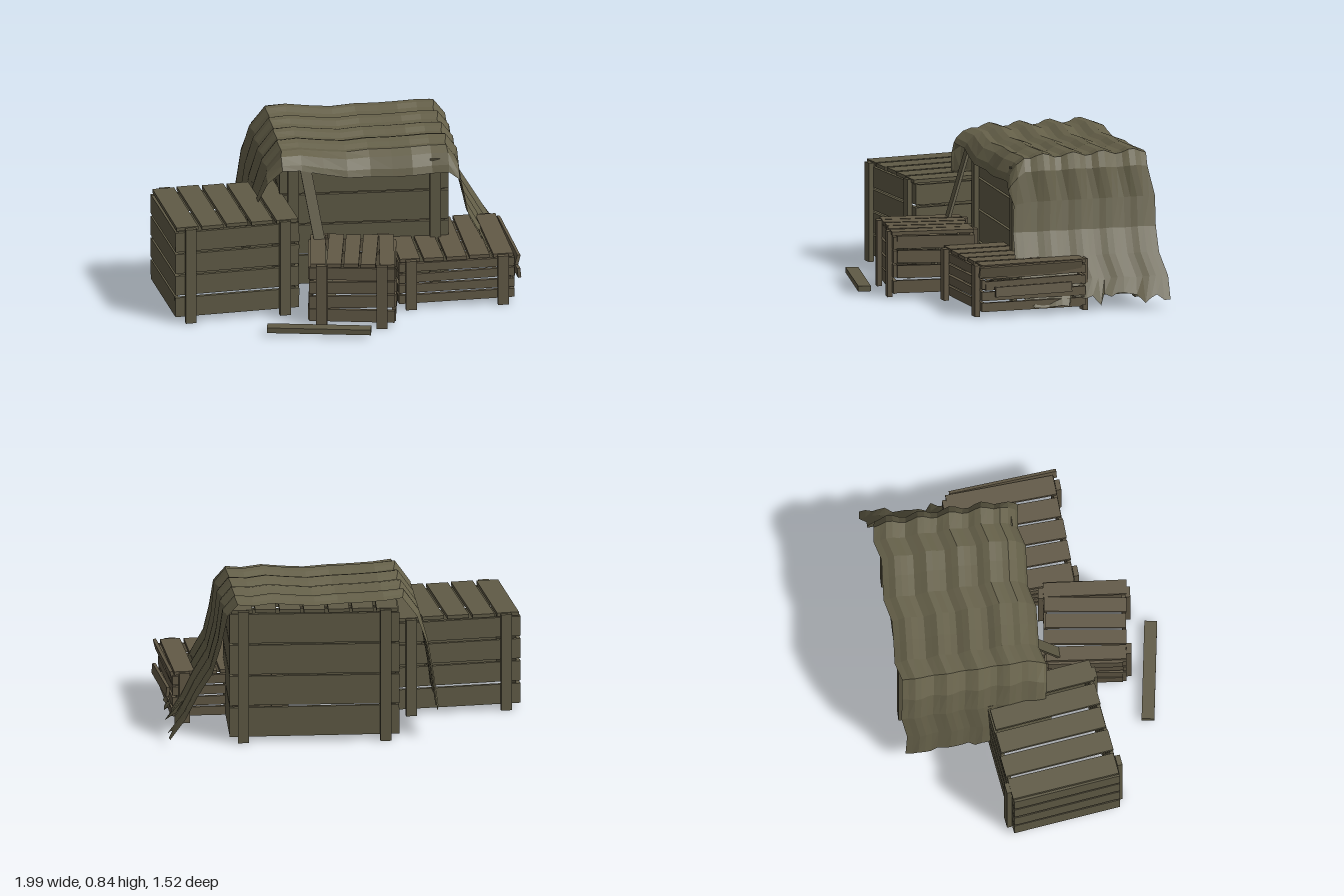
import * as THREE from 'three';

const mat = (name, color) => {
  const m = new THREE.MeshStandardMaterial({ color });
  m.name = name;
  return m;
};

export function createModel() {
  const root = new THREE.Group();
  root.name = 'crateStack';
  const wood = mat('weathered wood', 0x605b46);
  const brownWood = mat('brown wood', 0x625946);
  const cloth = mat('canvas', 0x656049);
  cloth.side = THREE.DoubleSide;

  let seed = 7;
  const rnd = () => {
    seed = (seed * 16807) % 2147483647;
    return seed / 2147483647 - 0.5;
  };

  function board(parent, name, material, size, pos, rot = [0, 0, 0]) {
    const m = new THREE.Mesh(new THREE.BoxGeometry(...size), material);
    m.name = name;
    m.position.set(...pos);
    m.rotation.set(...rot);
    parent.add(m);
    return m;
  }

  // Slatted crate, open below: plank walls, plank lid, four posts on the front and back
  function crate(o) {
    const { w, h, d, rows, lids, postX, postW, material, wobble, t = 0.02 } = o;
    const g = new THREE.Group();
    g.name = o.name;
    g.position.set(o.x, 0, o.z);
    g.rotation.y = o.turn;
    const base = 0.025, pitch = (h - t - base) / rows, slat = pitch * o.fill;
    for (let i = 0; i < rows; i++) {
      const y = base + pitch * (i + 0.5);
      for (const s of [-1, 1]) {
        board(g, 'wallSlat', material, [w, slat, t], [0, y, s * (d / 2 - t / 2)],
          [0, 0, rnd() * wobble]);
        board(g, 'endSlat', material, [t, slat, d - 2 * t],
          [s * (w / 2 - t / 2 + Math.abs(rnd()) * wobble * 0.3), y, 0],
          [rnd() * wobble, rnd() * wobble, 0]);
      }
    }
    const lidPitch = w / lids;
    for (let i = 0; i < lids; i++) {
      board(g, 'lidSlat', material, [lidPitch * 0.87, t, d + rnd() * 0.02],
        [-w / 2 + lidPitch * (i + 0.5), h - t / 2, rnd() * 0.012], [0, rnd() * wobble, 0]);
    }
    for (const sx of [-1, 1]) for (const sz of [-1, 1]) {
      board(g, 'post', material, [postW, h - 0.005, 0.028],
        [sx * postX, (h - 0.005) / 2, sz * (d / 2 + 0.013)]);
    }
    root.add(g);
    return g;
  }

  crate({ name: 'largeCrate', x: 0.165, z: -0.355, turn: -0.04, w: 0.93, h: 0.755, d: 0.67, rows: 4,
    lids: 7, postX: 0.39, postW: 0.06, fill: 0.94, material: wood, wobble: 0.008 });
  crate({ name: 'sideCrate', x: -0.625, z: 0.05, turn: 0.1, w: 0.695, h: 0.555, d: 0.6, rows: 4,
    lids: 5, postX: 0.265, postW: 0.06, fill: 0.88, material: wood, wobble: 0.01 });
  crate({ name: 'smallCrate', x: 0.04, z: 0.345, turn: -0.14, w: 0.47, h: 0.37, d: 0.45, rows: 4,
    lids: 5, postX: 0.165, postW: 0.06, fill: 0.86, material: brownWood, wobble: 0.05 });
  const low = crate({ name: 'lowCrate', x: 0.61, z: 0.025, turn: 0.03, w: 0.64, h: 0.29, d: 0.6, rows: 4,
    lids: 5, postX: 0.255, postW: 0.06, fill: 0.8, material: brownWood, wobble: 0.03 });

  // Slats sprung loose from the end of the low crate
  board(low, 'looseSlat', brownWood, [0.018, 0.06, 0.6], [0.325, 0.255, 0.02], [0, 0.03, -0.25]);
  board(low, 'looseSlat', brownWood, [0.018, 0.055, 0.45], [0.345, 0.145, 0.01], [0, 0.05, 0.1]);

  // Loose planks: one on the ground, one leaning on the large crate
  board(root, 'groundPlank', wood, [0.57, 0.03, 0.07], [-0.185, 0.035, 0.667], [0, -0.187, 0]);
  const a = new THREE.Vector3(-0.18, 0.735, 0.035), b = new THREE.Vector3(-0.07, 0.06, 0.285);
  const dir = b.clone().sub(a);
  const lean = board(root, 'leaningPlank', wood, [0.06, dir.length(), 0.015],
    a.clone().add(b).multiplyScalar(0.5).toArray());
  lean.quaternion.setFromUnitVectors(new THREE.Vector3(0, -1, 0), dir.normalize());

  // Draped cover: a cross-section over the large crate, swept along z with ridges
  const section = [[-0.5, 0.17], [-0.475, 0.36], [-0.44, 0.56], [-0.39, 0.72], [-0.31, 0.828],
    [-0.2, 0.825], [-0.08, 0.815], [0.05, 0.808], [0.18, 0.808], [0.3, 0.812], [0.41, 0.82],
    [0.52, 0.815], [0.61, 0.818], [0.67, 0.745], [0.705, 0.58], [0.75, 0.42], [0.83, 0.29],
    [0.9, 0.17], [0.97, 0.065]];
  const rows = [];
  for (let j = 0; j <= 20; j++) rows.push([-0.735 + j * 0.035, 0]);
  rows.push([0.01, 0.035], [0.05, 0.08], [0.065, 0.11]);
  const n = section.length, pos = [], idx = [];
  rows.forEach(([z, drop], j) => {
    const fray = rnd();
    section.forEach(([x, y], i) => {
      const p = section[Math.max(i - 1, 0)], q = section[Math.min(i + 1, n - 1)];
      const len = Math.hypot(q[0] - p[0], q[1] - p[1]);
      const top = THREE.MathUtils.clamp((y - 0.55) / 0.25, 0, 1);
      const hang = x > 0.6 ? 0.82 - y : 0;
      const toFront = (z + 0.735) / 0.8;
      const zz = z + 0.015 * Math.sin(i * 2.1) - 0.03 * hang * (1 - toFront);
      const ridge = (drop ? 0.004 : 0.006 + 0.009 * top) * Math.sin(z * Math.PI * 2 / 0.17 + 0.5);
      const sag = drop * top * (1 + 0.3 * Math.sin((x + 0.2) * 3.2 - 0.3));
      const ragged = i === n - 1 ? fray * 0.06 : i === 0 ? fray * 0.04 : 0;
      pos.push(x - (q[1] - p[1]) / len * ridge - 0.08 * hang * toFront - (i ? ragged : 0),
        y + (q[0] - p[0]) / len * ridge - sag + ragged, zz);
      if (j && i) {
        const k = j * n + i;
        idx.push(k - n - 1, k - 1, k, k - n - 1, k, k - n);
      }
    });
  });
  const indexed = new THREE.BufferGeometry();
  indexed.setAttribute('position', new THREE.Float32BufferAttribute(pos, 3));
  indexed.setIndex(idx);
  const sheet = indexed.toNonIndexed();
  sheet.computeVertexNormals();
  const cover = new THREE.Mesh(sheet, cloth);
  cover.name = 'canvasCover';
  root.add(cover);

  return root;
}
